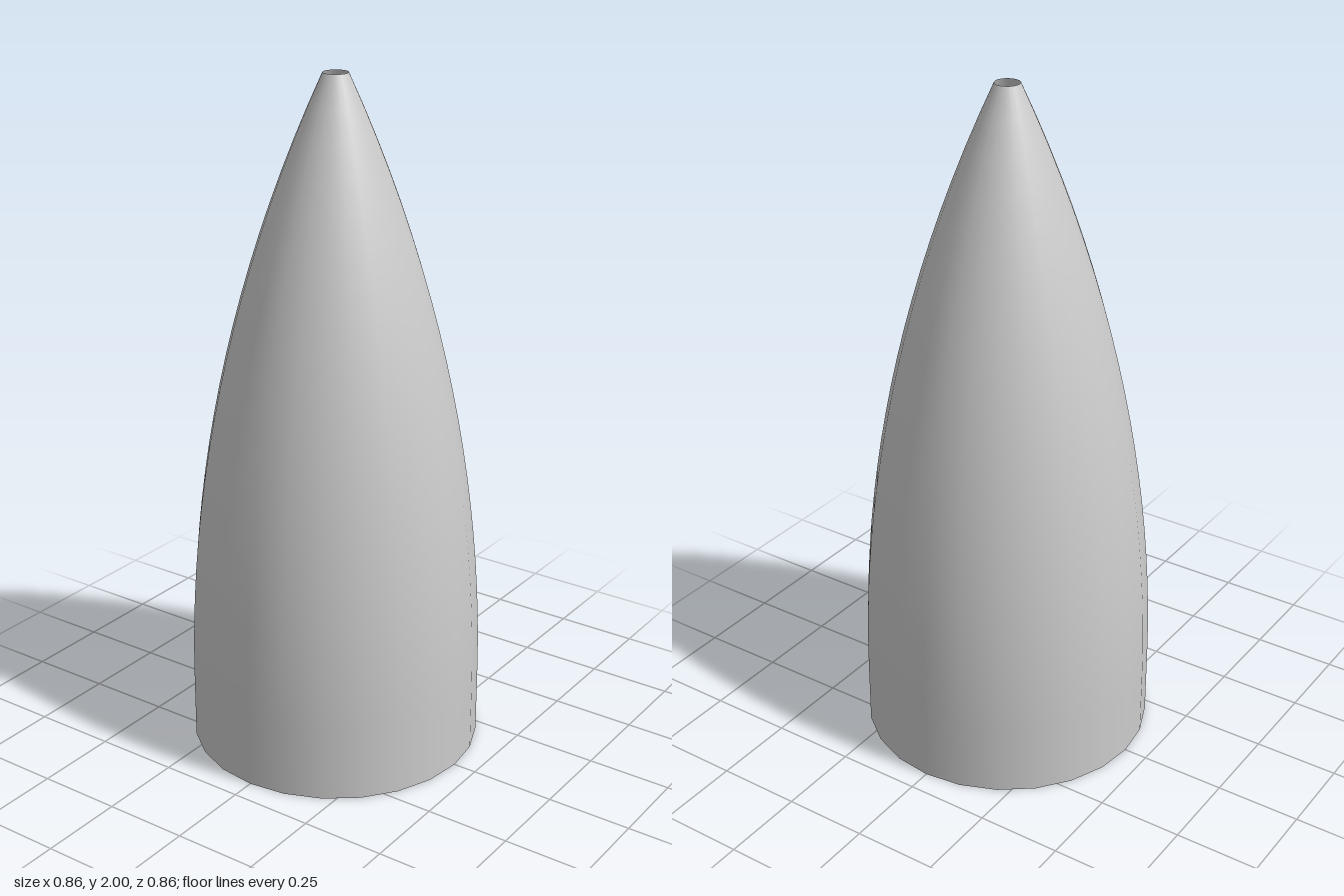
import * as THREE from 'three';

export function createModel() {
  const group = new THREE.Group();
  group.name = 'noseCone';

  const baseRadius = 0.43, tipRadius = 0.036, collarHeight = 0.2, height = 2;
  const rise = height - collarHeight, inset = baseRadius - tipRadius;
  // radius of the arc that leaves the collar tangentially and ends at the tip
  const arcRadius = (rise * rise + inset * inset) / (2 * inset);

  // straight collar, then a tangent ogive
  const profile = [new THREE.Vector2(baseRadius, 0)];
  const steps = 20;
  for (let i = 0; i <= steps; i++) {
    const h = (rise * i) / steps;
    const r = baseRadius - arcRadius + Math.sqrt(arcRadius * arcRadius - h * h);
    profile.push(new THREE.Vector2(r, collarHeight + h));
  }

  // thin shell, open at the base and the tip
  const shell = new THREE.Mesh(
    new THREE.LatheGeometry(profile, 24),
    new THREE.MeshStandardMaterial({ color: 0xcccccc, side: THREE.DoubleSide })
  );
  shell.name = 'ogiveShell';
  group.add(shell);
  return group;
}
